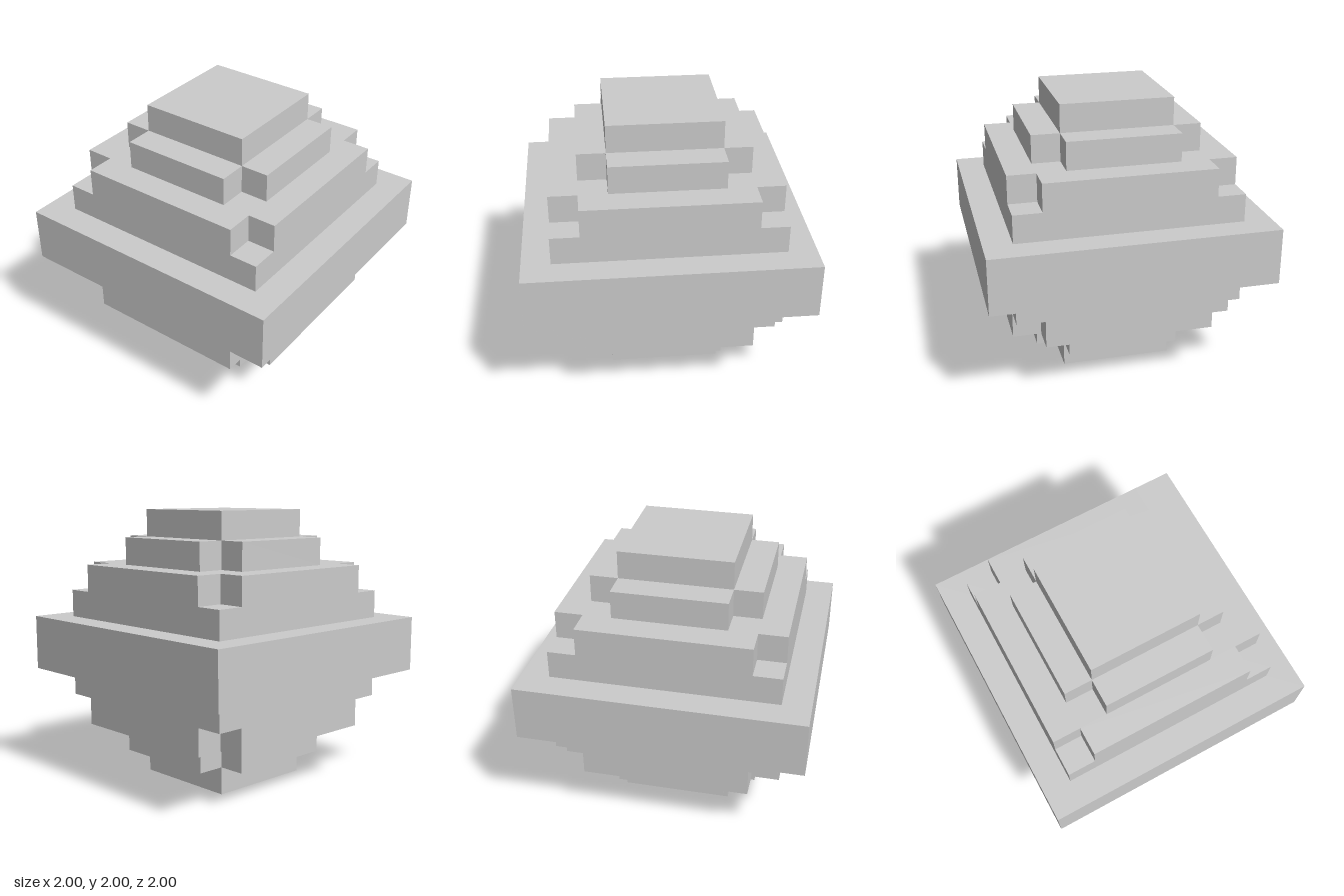
import * as THREE from 'three';

const material = new THREE.MeshStandardMaterial({ color: 0xcccccc, flatShading: true });

// Square slab of half-width h whose four corners are notched by n
function slab(name, h, n, bottom, height) {
  const i = h - n;
  const outline = n === 0
    ? [[h, -h], [h, h], [-h, h], [-h, -h]]
    : [[i, -h], [i, -i], [h, -i], [h, i], [i, i], [i, h],
       [-i, h], [-i, i], [-h, i], [-h, -i], [-i, -i], [-i, -h]];
  const shape = new THREE.Shape(outline.map(([x, y]) => new THREE.Vector2(x, y)));
  const geometry = new THREE.ExtrudeGeometry(shape, { depth: height, bevelEnabled: false });
  geometry.rotateX(-Math.PI / 2);
  const mesh = new THREE.Mesh(geometry, material);
  mesh.name = name;
  mesh.position.y = bottom;
  return mesh;
}

export function createModel() {
  const model = new THREE.Group();
  model.name = 'steppedBlock';

  // Wide belt around the middle
  model.add(slab('middleBelt', 1, 0, 0.8, 0.4));

  // Steps above the belt, mirrored below: name, half-width, corner notch, bottom
  const steps = [
    ['SquareStep', 0.8, 0, 1.2],
    ['NotchedStep', 0.8, 0.2, 1.4],
    ['CrossStep', 0.6, 0.2, 1.6],
    ['Cap', 0.4, 0, 1.8],
  ];
  for (const [name, h, n, y] of steps) {
    model.add(slab('upper' + name, h, n, y, 0.2));
    model.add(slab('lower' + name, h, n, 1.8 - y, 0.2));
  }
  return model;
}
